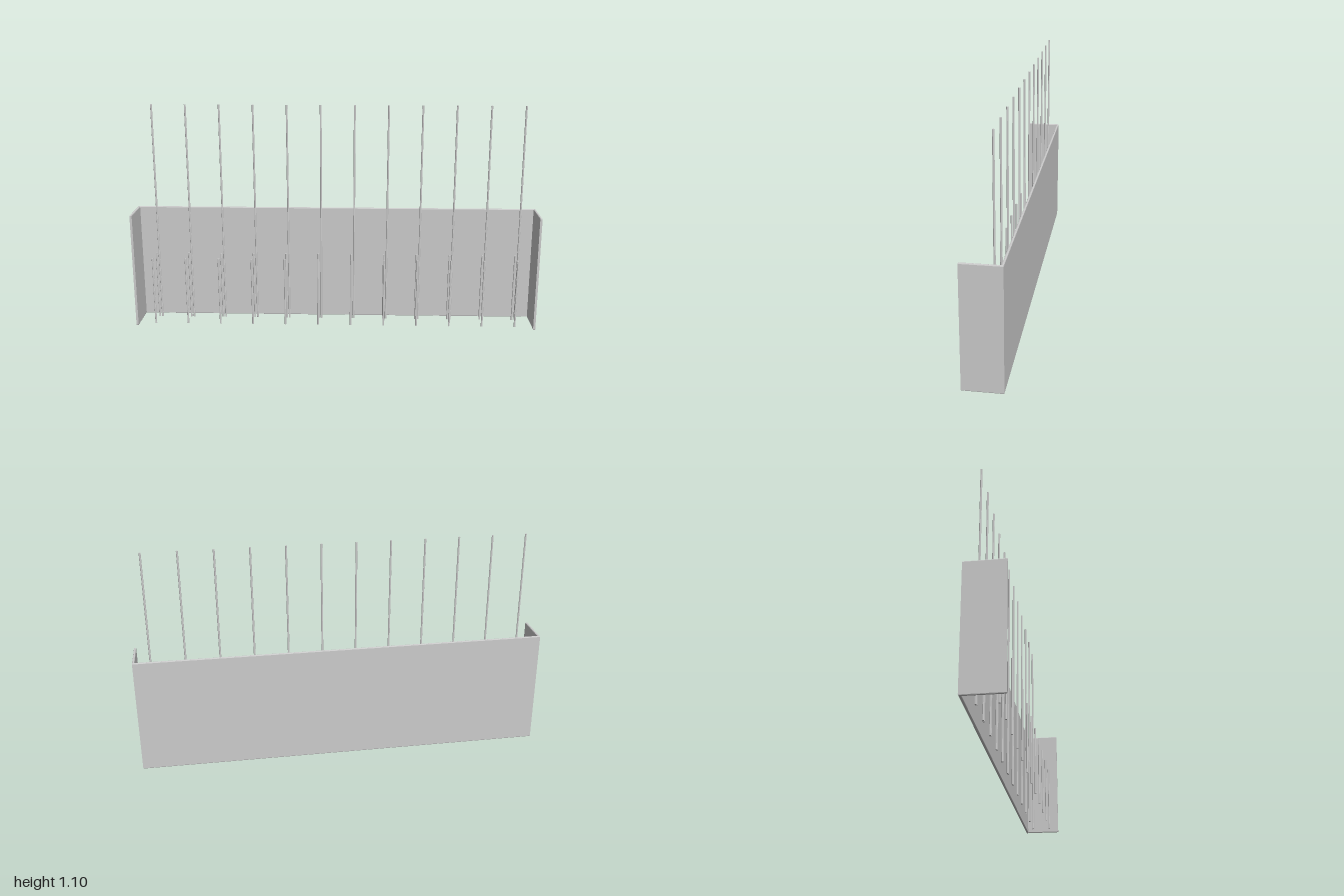
import * as THREE from 'three';

export function createModel() {
  const model = new THREE.Group();
  const material = new THREE.MeshStandardMaterial({ color: 0xcccccc, flatShading: true });

  // U-shaped screen: a thin back wall with two short side wings, edges bevelled
  const height = 0.577, bevel = 0.004, depth = 0.091;
  const xo = 1 - bevel, xi = 1 - 0.007;
  const zo = depth - bevel, zi = depth - 0.007;
  // shape y becomes -z once the extrusion is stood upright
  const outline = new THREE.Shape([
    [-xo, -zo], [-xi, -zo], [-xi, zi], [xi, zi],
    [xi, -zo], [xo, -zo], [xo, zo], [-xo, zo],
  ].map(([x, y]) => new THREE.Vector2(x, y)));
  const screenGeometry = new THREE.ExtrudeGeometry(outline, {
    depth: height - 2 * bevel, bevelEnabled: true,
    bevelSize: bevel, bevelThickness: bevel, bevelSegments: 2,
  });
  screenGeometry.rotateX(-Math.PI / 2).translate(0, bevel, 0);
  const screen = new THREE.Mesh(screenGeometry, material);
  screen.name = 'screen';
  model.add(screen);

  // Rows of upright rods standing on the ground
  const radius = 0.0047, count = 12, spacing = 0.1648;
  function addRow(name, x0, z, rodHeight) {
    const row = new THREE.Group();
    row.name = name + 's';
    const geometry = new THREE.CylinderGeometry(radius, radius, rodHeight, 8);
    for (let i = 0; i < count; i++) {
      const rod = new THREE.Mesh(geometry, material);
      rod.name = name;
      rod.position.set(x0 + i * spacing, rodHeight / 2, z);
      row.add(rod);
    }
    model.add(row);
  }
  addRow('tallRod', -0.895, -0.041, 1.1);
  addRow('shortBackRod', -0.909, -0.041, 0.345);
  addRow('shortFrontRod', -0.909, 0.05, 0.345);

  return model;
}
